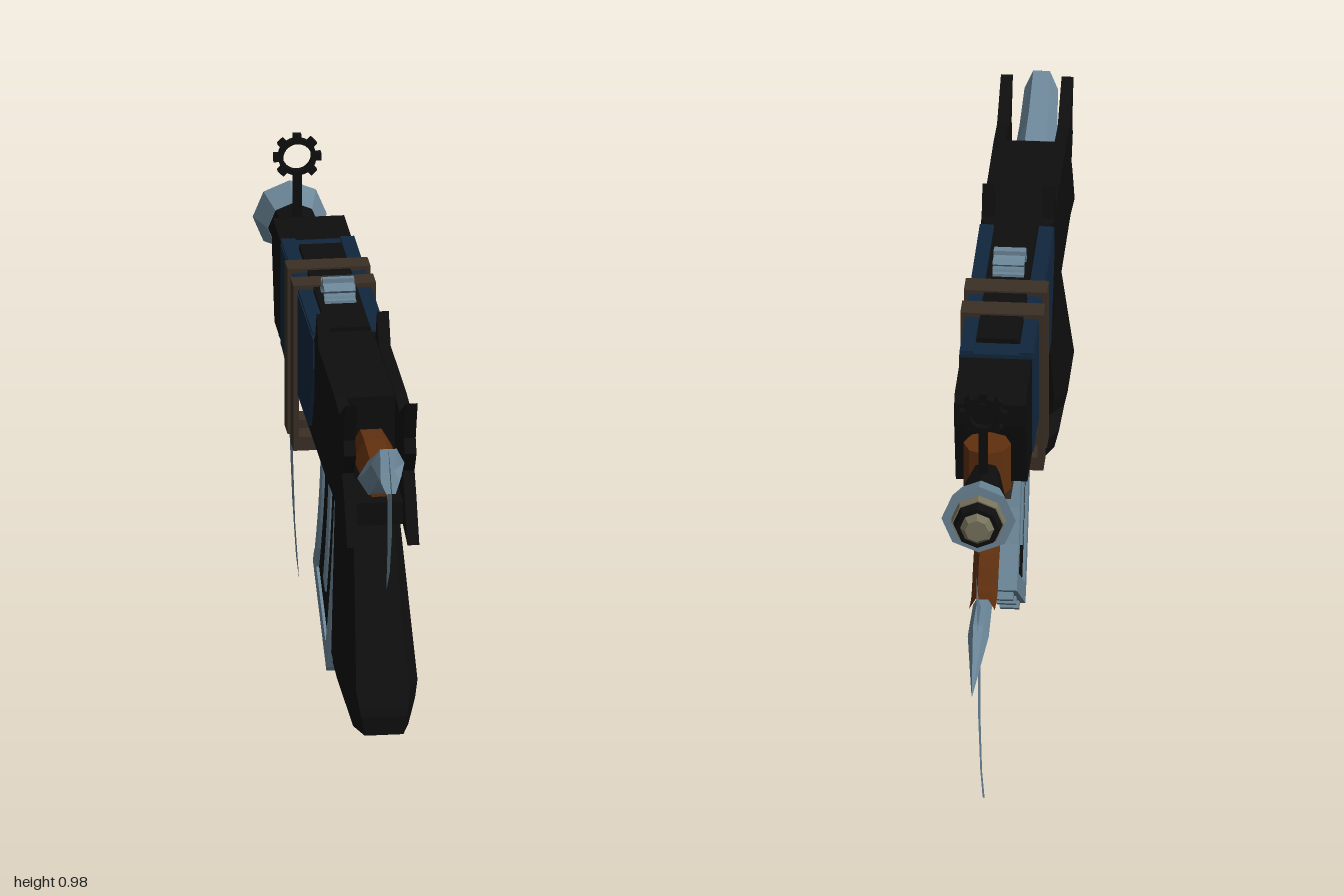
import * as THREE from 'three';

const mat = (name, color, side = THREE.FrontSide) =>
  Object.assign(new THREE.MeshStandardMaterial({ color, flatShading: true, side }), { name });

export function createModel() {
  const root = new THREE.Group();
  root.name = 'fantasyRifle';
  const black = mat('black', 0x0e0e0e);
  const blue = mat('navy', 0x10273d);
  const steel = mat('steel', 0x6c8799, THREE.DoubleSide);
  const brown = mat('leatherBrown', 0x3a2f25);
  const copper = mat('copper', 0x60300f);
  const bone = mat('bone', 0x77735c);

  const add = (name, geo, material, x = 0, y = 0, z = 0, parent = root) => {
    const m = new THREE.Mesh(geo, material);
    m.name = name;
    m.position.set(x, y, z);
    parent.add(m);
    return m;
  };
  const shapeOf = pts => new THREE.Shape(pts.map(p => new THREE.Vector2(p[0], p[1])));
  // Side profile of [z, y] points, spanning x - hw to x + hw
  const side = (name, pts, hw, material, x = 0) => {
    const g = new THREE.ExtrudeGeometry(shapeOf(pts), { depth: hw * 2, bevelEnabled: false });
    return add(name, g.rotateY(-Math.PI / 2).translate(hw + x, 0, 0), material);
  };
  const sheet = (name, pts) =>
    add(name, new THREE.ShapeGeometry(shapeOf(pts)).rotateY(-Math.PI / 2), steel);
  const box = (name, w, h, d, material, x, y, z) =>
    add(name, new THREE.BoxGeometry(w, h, d), material, x, y, z);
  // Closed skin over a list of equal-sized rings
  const loft = (name, rings, material) => {
    const n = rings[0].length, idx = [];
    for (let k = 0; k < rings.length - 1; k++)
      for (let i = 0; i < n; i++) {
        const j = (i + 1) % n, a = k * n, b = a + n;
        idx.push(a + i, a + j, b + j, a + i, b + j, b + i);
      }
    const last = (rings.length - 1) * n;
    for (let i = 1; i < n - 1; i++) idx.push(0, i + 1, i, last, last + i, last + i + 1);
    const g = new THREE.BufferGeometry();
    g.setAttribute('position', new THREE.Float32BufferAttribute(rings.flat(2), 3));
    g.setIndex(idx);
    g.computeVertexNormals();
    return add(name, g, material);
  };
  const hexRing = (z, y, w, h, tilt = 0) => Array.from({ length: 6 }, (_, i) => {
    const t = i * Math.PI / 3, s = Math.sin(t) * h;
    return [Math.cos(t) * w, y + s, z + s * tilt];
  });
  // Cylinder along z; rFront is the muzzle end
  const barrel = (name, rFront, rBack, zFront, zBack, material) =>
    add(name, new THREE.CylinderGeometry(rFront, rBack, zBack - zFront, 8).rotateX(-Math.PI / 2),
      material, 0, 0.757, (zFront + zBack) / 2);
  const tube = (name, pts, r, material) => add(name, new THREE.TubeGeometry(
    new THREE.CatmullRomCurve3(pts.map(p => new THREE.Vector3(0, p[1], p[0]))), 10, r, 6), material);

  // Receiver and lower housing
  side('receiver', [[0.62, 0.657], [0.62, 0.887], [-0.25, 0.887], [-0.27, 0.872], [-0.32, 0.872],
    [-0.32, 0.657]], 0.07, black);
  side('frontBlock', [[-0.31, 0.657], [-0.31, 0.877], [-0.48, 0.877], [-0.495, 0.86], [-0.495, 0.81],
    [-0.45, 0.657]], 0.075, black);
  side('lowerHousing', [[0.32, 0.66], [0.32, 0.6], [0.28, 0.57], [-0.21, 0.57], [-0.26, 0.63],
    [-0.26, 0.66]], 0.05, black);
  box('topRail', 0.09, 0.02, 0.5, black, 0, 0.886, -0.02);

  // Blue side shells, joined across the top at the front
  const bluePts = [[0.255, 0.88], [0.255, 0.815], [0.17, 0.657], [-0.32, 0.657], [-0.32, 0.88]];
  for (const s of [-1, 1]) {
    side('blueShell', bluePts, 0.004, blue, s * 0.074);
    box('blueTopEdge', 0.03, 0.006, 0.56, blue, s * 0.062, 0.888, -0.04);
    // Spiked rear cheeks either side of the hammer slot
    side('spikedCheek', [[0.27, 0.657], [0.26, 0.887], [0.275, 0.89], [0.30, 0.955], [0.335, 0.89],
      [0.615, 0.89], [0.70, 0.88], [0.81, 0.94], [0.775, 0.85], [0.79, 0.82], [0.755, 0.77],
      [0.79, 0.72], [0.84, 0.635], [0.73, 0.657]], 0.0125, black, s * 0.0635);
  }
  box('blueBridge', 0.15, 0.01, 0.05, blue, 0, 0.881, -0.297);
  box('hammerBed', 0.11, 0.05, 0.17, black, 0, 0.68, 0.68);

  // Grip, bottom to top
  const gripRing = ([y, b, f, w]) => {
    const v = w * 0.7, half = [[v, b], [w, b - 0.06], [w, f + 0.045], [v, f]];
    return [...half.map(p => [p[0], y, p[1]]), ...half.reverse().map(p => [-p[0], y, p[1]])];
  };
  loft('grip', [[0.22, 0.855, 0.47, 0.058], [0.26, 0.855, 0.47, 0.068], [0.277, 0.85, 0.555, 0.073],
    [0.31, 0.833, 0.548, 0.08], [0.68, 0.64, 0.435, 0.057]].map(gripRing), black);

  // Trigger and guard
  side('trigger', [[0.45, 0.66], [0.39, 0.66], [0.44, 0.545], [0.48, 0.525]], 0.025, copper);
  side('triggerGuard', [[0.49, 0.525], [0.41, 0.525], [0.32, 0.57], [0.32, 0.535], [0.39, 0.5],
    [0.49, 0.5]], 0.025, black);

  // Curved magazine: strips blended between its back and front edges
  const edge = (a, b, c) => new THREE.QuadraticBezierCurve(...[a, b, c].map(p => new THREE.Vector2(...p)))
    .getPoints(5);
  const back = edge([0.29, 0.59], [0.23, 0.31], [0.10, 0.09]);
  const fore = edge([0, 0.59], [-0.02, 0.42], [-0.135, 0.245]);
  const strip = (name, a, b, hw, material, end = 6) => {
    const at = t => back.slice(0, end).map((p, i) => p.clone().lerp(fore[i], t)).map(p => [p.x, p.y]);
    side(name, [...at(a), ...at(b).reverse()], hw, material);
  };
  strip('magazineCore', 0.03, 0.97, 0.024, black);
  strip('magazineBackRail', 0, 0.16, 0.03, steel);
  strip('magazineFrontRail', 0.86, 1, 0.03, steel);
  strip('magazineRib', 0.43, 0.57, 0.028, steel, 5);
  const foot = new THREE.Group();
  foot.name = 'magazineFoot';
  foot.position.set(0, 0.173, -0.02);
  foot.rotation.x = Math.atan2(0.155, 0.235);
  root.add(foot);
  add('footPlate', new THREE.BoxGeometry(0.06, 0.04, 0.285), steel, 0, 0, 0, foot);
  for (const z of [-0.09, 0, 0.1])
    add('footStud', new THREE.BoxGeometry(0.04, 0.02, 0.035), steel, 0, -0.026, z, foot);

  // Two strap frames around the body
  for (const z of [-0.042, -0.142]) {
    for (const s of [-1, 1]) box('strapSide', 0.012, 0.365, 0.053, brown, s * 0.081, 0.715, z);
    box('strapTop', 0.174, 0.014, 0.053, brown, 0, 0.893, z);
    box('strapBottom', 0.174, 0.03, 0.053, brown, 0, 0.547, z);
  }

  // Toothed sight rings
  const gear = (name, r, depth, material, teeth = 8) => {
    const g = new THREE.Group();
    g.name = name;
    const ring = new THREE.Shape().absarc(0, 0, r, 0, Math.PI * 2);
    ring.holes.push(new THREE.Path().absarc(0, 0, r * 0.74, 0, Math.PI * 2, true));
    add('ring', new THREE.ExtrudeGeometry(ring, { depth, bevelEnabled: false, curveSegments: 16 })
      .translate(0, 0, -depth / 2), material, 0, 0, 0, g);
    for (let i = 0; i < teeth; i++) {
      const a = i / teeth * Math.PI * 2 + Math.PI / 2;
      const t = add('tooth', new THREE.BoxGeometry(r * 0.35, r * 0.42, depth), material,
        Math.cos(a) * r * 1.08, Math.sin(a) * r * 1.08, 0, g);
      t.rotation.z = a;
    }
    root.add(g);
    return g;
  };
  const rear = gear('rearSight', 0.034, 0.066, steel);
  rear.position.set(0, 0.895, 0.045);
  rear.rotation.y = Math.PI / 2;
  gear('frontSight', 0.04, 0.016, black).position.set(0, 0.937, -0.68);
  box('frontSightPost', 0.018, 0.13, 0.016, black, 0, 0.84, -0.68);

  // Muzzle
  add('muzzleCollar', new THREE.CylinderGeometry(0.05, 0.05, 0.105, 8), copper, 0, 0.757, -0.57);
  barrel('muzzleCone', 0.055, 0.028, -0.745, -0.6, black);
  barrel('muzzleFlare', 0.078, 0.055, -0.81, -0.74, steel);
  barrel('muzzleRing', 0.055, 0.058, -0.83, -0.805, bone);
  barrel('muzzleBand', 0.046, 0.052, -0.85, -0.83, black);
  barrel('muzzleTip', 0.025, 0.036, -0.863, -0.85, bone);

  // Pipework beneath the front
  box('pipeElbow', 0.06, 0.07, 0.07, brown, 0, 0.685, -0.565);
  box('upperPipe', 0.055, 0.045, 0.19, brown, 0, 0.663, -0.5);
  box('pipeClamp', 0.075, 0.06, 0.11, brown, 0, 0.625, -0.36);
  tube('lowerPipe', [[-0.24, 0.62], [-0.42, 0.622], [-0.5, 0.61], [-0.58, 0.565]], 0.022, brown);
  tube('bladeArm', [[-0.54, 0.585], [-0.6, 0.545], [-0.65, 0.49], [-0.72, 0.495]], 0.027, copper);

  // Front pick: round spike with flat curved blades
  loft('pickSpike', [hexRing(-0.995, 0.438, 0.001, 0.001), hexRing(-0.82, 0.485, 0.022, 0.03),
    hexRing(-0.7, 0.495, 0.02, 0.022)], steel);
  sheet('pickUpperBlade', [[-0.72, 0.5], [-0.78, 0.54], [-0.83, 0.59], [-0.868, 0.657],
    [-0.862, 0.58], [-0.835, 0.49]]);
  sheet('pickLowerBlade', [[-0.735, 0.49], [-0.76, 0.38], [-0.755, 0.25], [-0.715, 0.11], [-0.642, 0.005],
    [-0.7, 0.04], [-0.765, 0.14], [-0.82, 0.29], [-0.84, 0.49]]);

  // Hammer at the rear
  loft('hammerMount', [hexRing(0.61, 0.775, 0.045, 0.045), hexRing(0.69, 0.775, 0.045, 0.05),
    hexRing(0.79, 0.762, 0.036, 0.04)], copper);
  loft('hammerArm', [hexRing(0.775, 0.765, 0.047, 0.045), hexRing(0.84, 0.80, 0.04, 0.042),
    hexRing(0.92, 0.85, 0.035, 0.042, 0.3), hexRing(0.965, 0.825, 0.02, 0.025, -0.6)], steel);
  sheet('hammerBlade', [[0.93, 0.89], [0.97, 0.85], [0.998, 0.805], [0.99, 0.71], [0.955, 0.62],
    [0.893, 0.555], [0.915, 0.66], [0.912, 0.76], [0.9, 0.82]]);

  return root;
}
